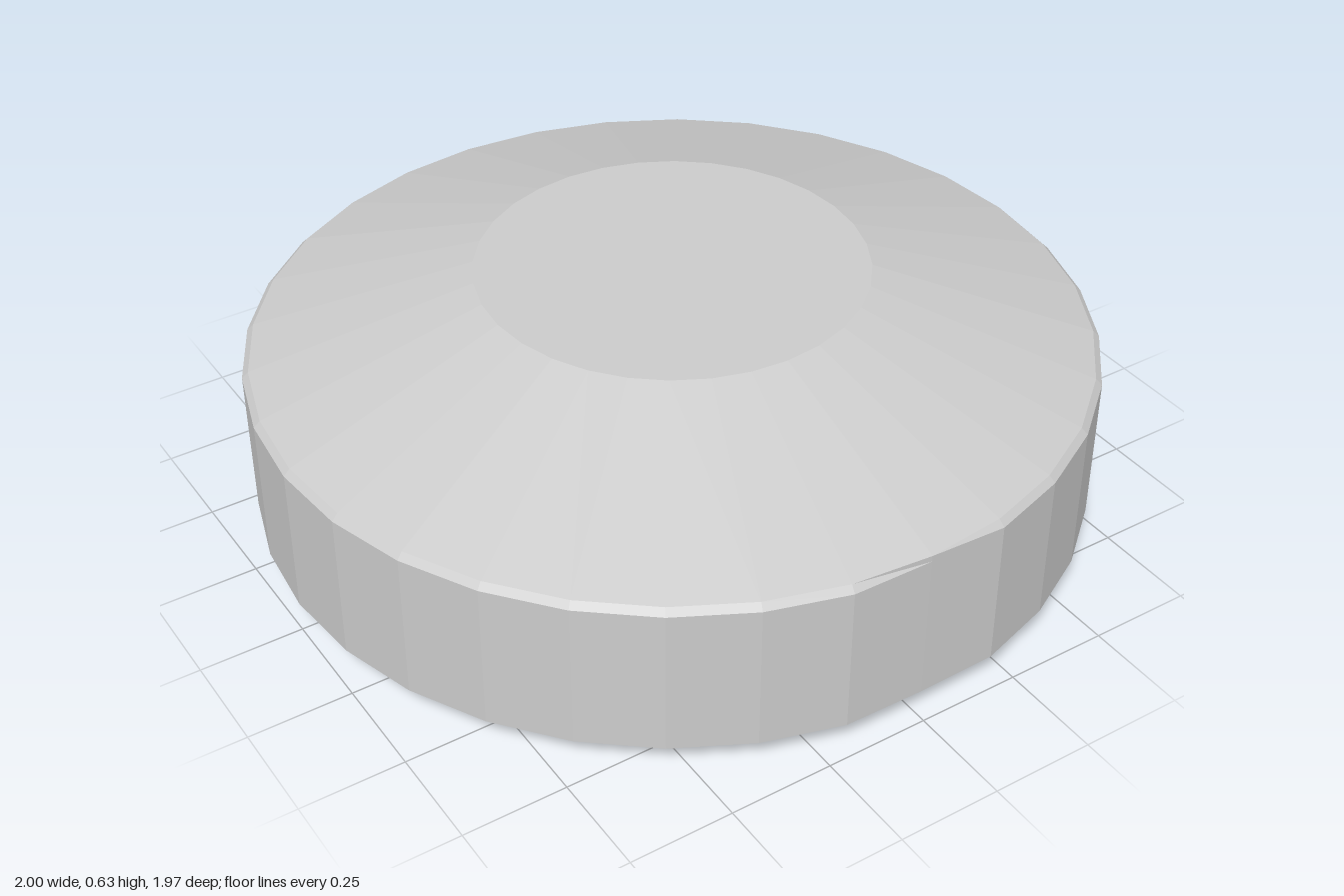
import * as THREE from 'three';

const SIDES = 32;
const FLAT_Z = 0.985; // the rim is trimmed slightly at front and back

export function createModel() {
  const group = new THREE.Group();
  group.name = 'bevelledDisc';
  const material = new THREE.MeshStandardMaterial({ color: 0xcccccc, flatShading: true });

  // Revolve a [radius, height] profile, then trim the front and back of the rim
  function addRing(name, profile) {
    const points = profile.map(([r, y]) => new THREE.Vector2(r, y));
    const geometry = new THREE.LatheGeometry(points, SIDES);
    const position = geometry.attributes.position;
    for (let i = 0; i < position.count; i++) {
      position.setZ(i, THREE.MathUtils.clamp(position.getZ(i), -FLAT_Z, FLAT_Z));
    }
    geometry.computeVertexNormals();
    const mesh = new THREE.Mesh(geometry, material);
    mesh.name = name;
    group.add(mesh);
  }

  // Shallow underside with a nearly flat centre
  addRing('underside', [[0, 0], [0.52, 0.008], [1, 0.075]]);
  // Upright rim with a narrow chamfer
  addRing('rim', [[1, 0.075], [1, 0.44], [0.985, 0.455]]);
  // Sloping upper face and flat cap
  addRing('upperBevel', [[0.985, 0.455], [0.46, 0.635]]);
  addRing('topCap', [[0.46, 0.635], [0, 0.635]]);

  return group;
}
